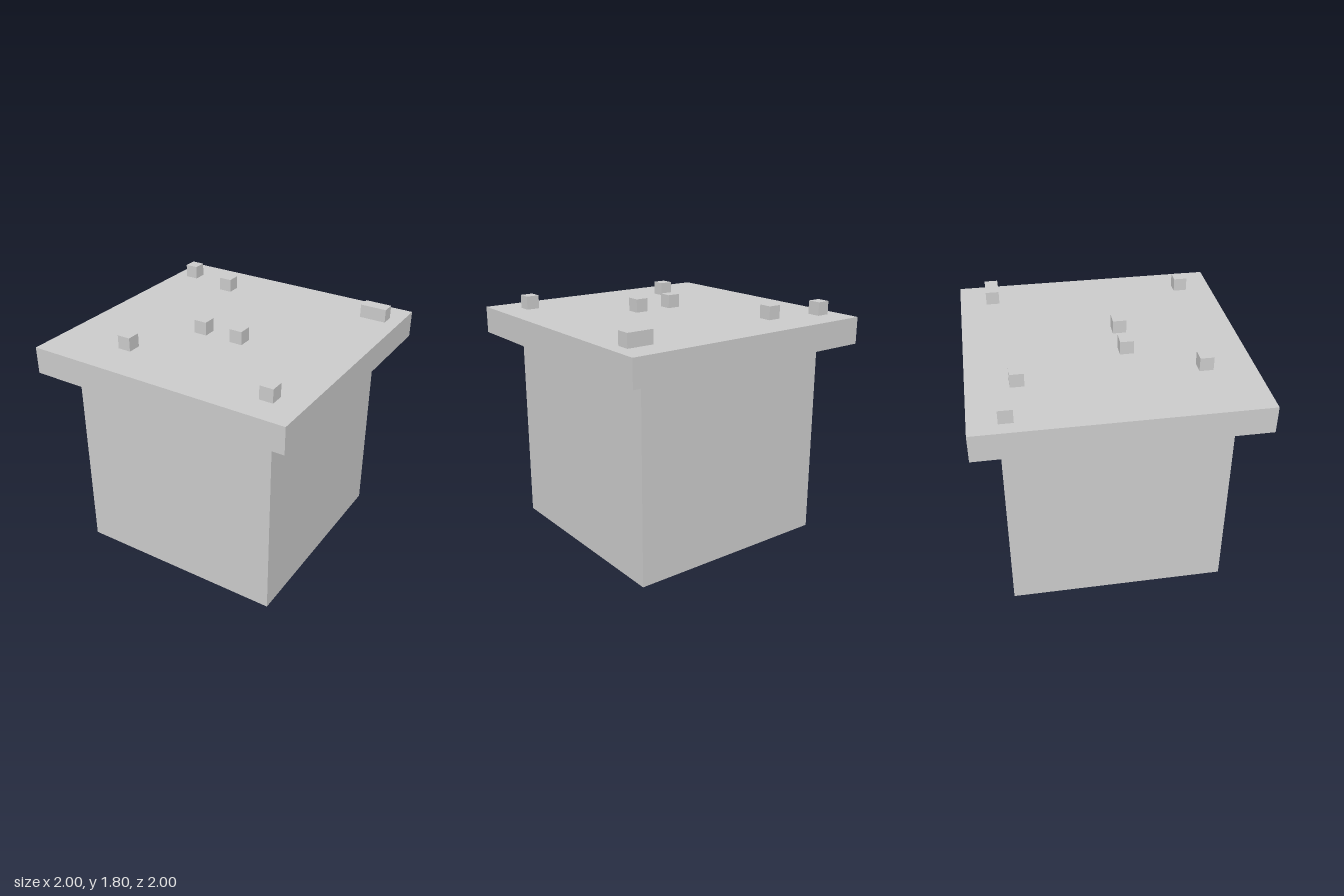
import * as THREE from 'three';

export function createModel() {
  const model = new THREE.Group();
  const material = new THREE.MeshStandardMaterial({ color: 0xcccccc, flatShading: true });

  // Adds a box whose underside rests at height y
  function addBox(name, [w, h, d], x, y, z) {
    const mesh = new THREE.Mesh(new THREE.BoxGeometry(w, h, d), material);
    mesh.name = name;
    mesh.position.set(x, y + h / 2, z);
    model.add(mesh);
  }

  // Square body with an overhanging slab on top
  addBox('body', [1.6, 1.5, 1.6], 0, 0, 0);
  addBox('topSlab', [2, 0.2, 2], 0, 1.5, 0);

  // Small cubes scattered over the slab
  const studs = [
    [-0.85, -0.75], [-0.45, -0.65], [-0.15, 0.15],
    [0.15, 0.15], [-0.45, 0.65], [0.75, 0.75],
  ];
  studs.forEach(([x, z], i) => addBox(`stud${i + 1}`, [0.1, 0.1, 0.1], x, 1.7, z));

  // Double-length block in the back corner
  addBox('longStud', [0.2, 0.1, 0.1], 0.8, 1.7, -0.75);

  return model;
}
